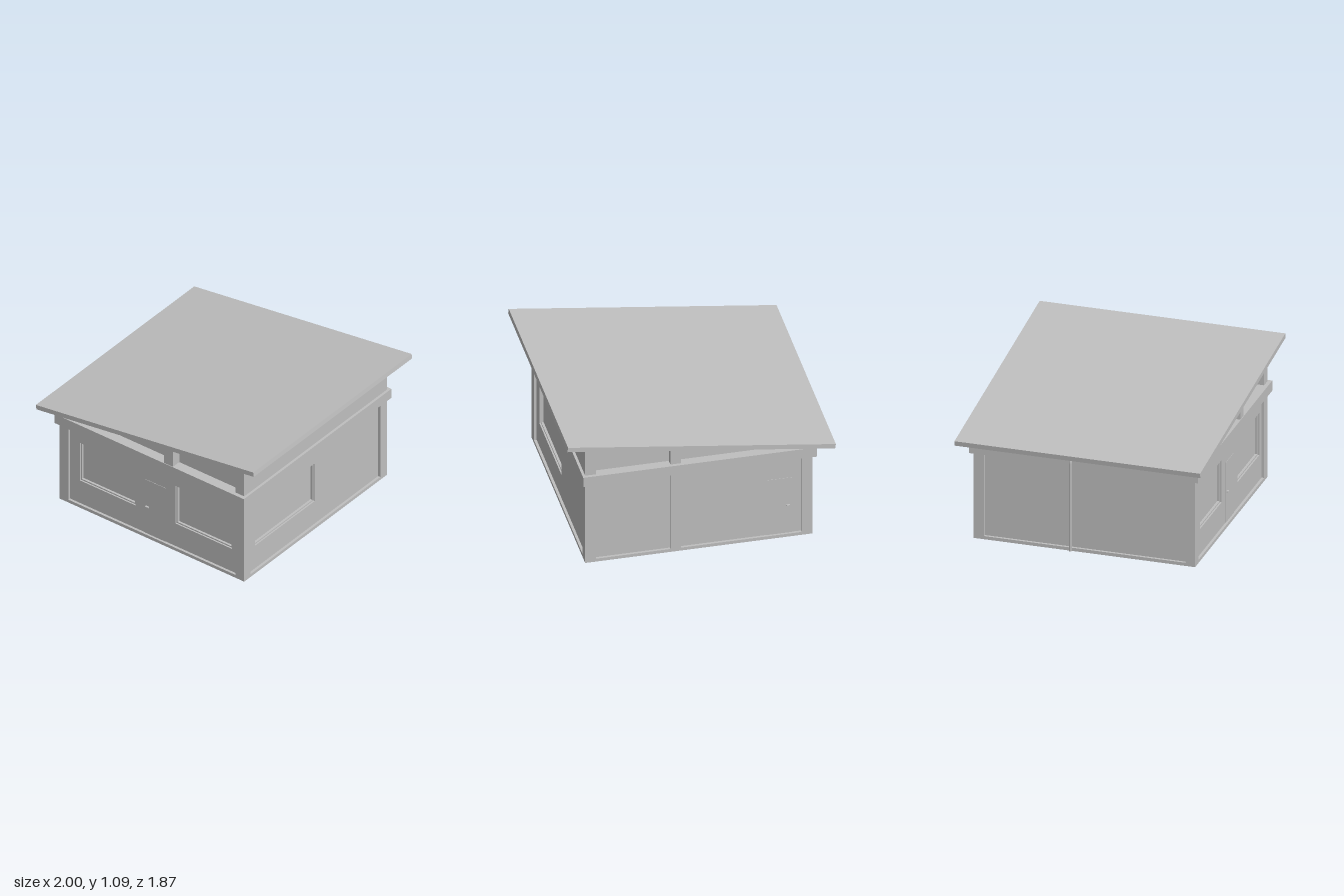
import * as THREE from 'three';

const concrete = new THREE.MeshStandardMaterial({ color: 0xbfbfbf });
concrete.name = 'plain grey';

// Distance of each wall face from the centre and its turn about y
const SIDES = {
  front: { turn: 0, dist: 0.85 },
  right: { turn: Math.PI / 2, dist: 0.845 },
  back: { turn: Math.PI, dist: 0.84 },
  left: { turn: -Math.PI / 2, dist: 0.85 },
};
const RECESS = 0.02; // panels sit this far behind the frame
const DEEP = 0.05;   // glazing sits this far behind the frame

const poly = (pts) => pts.map(([x, y]) => new THREE.Vector2(x, y));
const rect = (x0, x1, y0, y1) => [[x0, y0], [x1, y0], [x1, y1], [x0, y1]];
const underside = (x) => 0.78 + 0.1353 * (x + 0.995);

function prism(name, outline, holes, z0, z1) {
  const shape = new THREE.Shape(poly(outline));
  holes.forEach((h) => shape.holes.push(new THREE.Path(poly(h))));
  const geo = new THREE.ExtrudeGeometry(shape, { depth: z1 - z0, bevelEnabled: false });
  geo.translate(0, 0, z0);
  const mesh = new THREE.Mesh(geo, concrete);
  mesh.name = name;
  return mesh;
}

function box(name, x0, x1, y0, y1, z0, z1) {
  const mesh = new THREE.Mesh(new THREE.BoxGeometry(x1 - x0, y1 - y0, z1 - z0), concrete);
  mesh.position.set((x0 + x1) / 2, (y0 + y1) / 2, (z0 + z1) / 2);
  mesh.name = name;
  return mesh;
}

// One lower wall: outer frame, recessed panel, window rims and an optional door
function wall(side, u0, u1, panels, windows, door) {
  const { turn, dist } = SIDES[side];
  const g = new THREE.Group();
  g.name = side + 'Wall';
  g.rotation.y = turn;
  g.add(prism(side + 'Frame', rect(u0, u1, 0, 0.7),
    panels.map(([a, b]) => rect(a, b, 0.025, 0.69)), dist - RECESS, dist));
  g.add(prism(side + 'Panel', rect(u0 + 0.02, u1 - 0.02, 0, 0.7),
    windows.map(([a, b]) => rect(a, b, 0.225, 0.56)), dist - DEEP, dist - RECESS));
  windows.forEach(([a, b]) => g.add(prism('windowRim', rect(a, b, 0.225, 0.56),
    [rect(a + 0.01, b - 0.01, 0.235, 0.55)], dist - DEEP, dist - RECESS - 0.012)));
  if (door) {
    const z = dist - RECESS;
    g.add(box('door', door.x0, door.x1, 0.025, 0.5, z - 0.002, z + 0.003));
    g.add(box('doorHandle', door.handle - 0.014, door.handle + 0.014, 0.26, 0.27, z, z + 0.018));
  }
  return g;
}

export function createModel() {
  const model = new THREE.Group();
  model.name = 'pavilion';

  // Solid cores behind the walls
  model.add(box('lowerCore', -0.8, 0.795, 0.001, 0.72, -0.79, 0.8));
  const gable = [[-0.85, 0.72], [0.845, 0.72], [0.845, underside(0.845) + 0.005], [-0.85, underside(-0.85) + 0.005]];
  model.add(prism('upperCore', gable, [], -0.79, 0.8));

  // Lower walls
  model.add(wall('front', -0.85, 0.845, [[-0.77, 0.765]],
    [[-0.68, -0.17], [0.2, 0.715]], { x0: -0.075, x1: 0.107, handle: -0.055 }));
  model.add(wall('back', -0.845, 0.85, [[-0.765, -0.21], [-0.13, 0.77]],
    [], { x0: 0.515, x1: 0.7, handle: 0.67 }));
  model.add(wall('right', -0.83, 0.82, [[-0.775, 0.76]], [[-0.695, 0.01]]));
  model.add(wall('left', -0.82, 0.83, [[-0.76, 0.775]], []));

  // Gable walls with sloping clerestory openings
  const openings = [
    [[-0.76, 0.75], [0.13, 0.75], [0.13, 0.871]],
    [[0.21, 0.75], [0.765, 0.75], [0.765, 0.957], [0.21, 0.882]],
  ];
  model.add(prism('frontGable', gable, openings, 0.8, 0.85));
  model.add(prism('backGable', gable, openings, -0.84, -0.79));
  model.add(prism('frontPost',
    [[0.13, 0.74], [0.21, 0.74], [0.21, underside(0.21)], [0.13, underside(0.13)]], [], 0.8, 0.875));

  // Ring beam and sloping roof
  model.add(box('ringBeam', -0.875, 0.865, 0.68, 0.76, -0.865, 0.88));
  model.add(prism('roof', [[-0.995, 0.78], [1, 1.05], [0.995, 1.087], [-1, 0.817]], [], -0.937, 0.937));

  // Rainwater pipe, curving out from the low side
  const path = new THREE.CurvePath();
  const v = (x, y) => new THREE.Vector3(x, y, -0.08);
  path.add(new THREE.LineCurve3(v(-0.918, 0.03), v(-0.918, 0.72)));
  path.add(new THREE.QuadraticBezierCurve3(v(-0.918, 0.72), v(-0.918, 0.77), v(-0.87, 0.77)));
  path.add(new THREE.LineCurve3(v(-0.87, 0.77), v(-0.84, 0.77)));
  const pipe = new THREE.Mesh(new THREE.TubeGeometry(path, 80, 0.011, 12, false), concrete);
  pipe.name = 'rainPipe';
  model.add(pipe);
  const cap = new THREE.Mesh(new THREE.CircleGeometry(0.011, 12), concrete);
  cap.name = 'rainPipeEnd';
  cap.rotation.x = Math.PI / 2;
  cap.position.set(-0.918, 0.03, -0.08);
  model.add(cap);

  return model;
}
